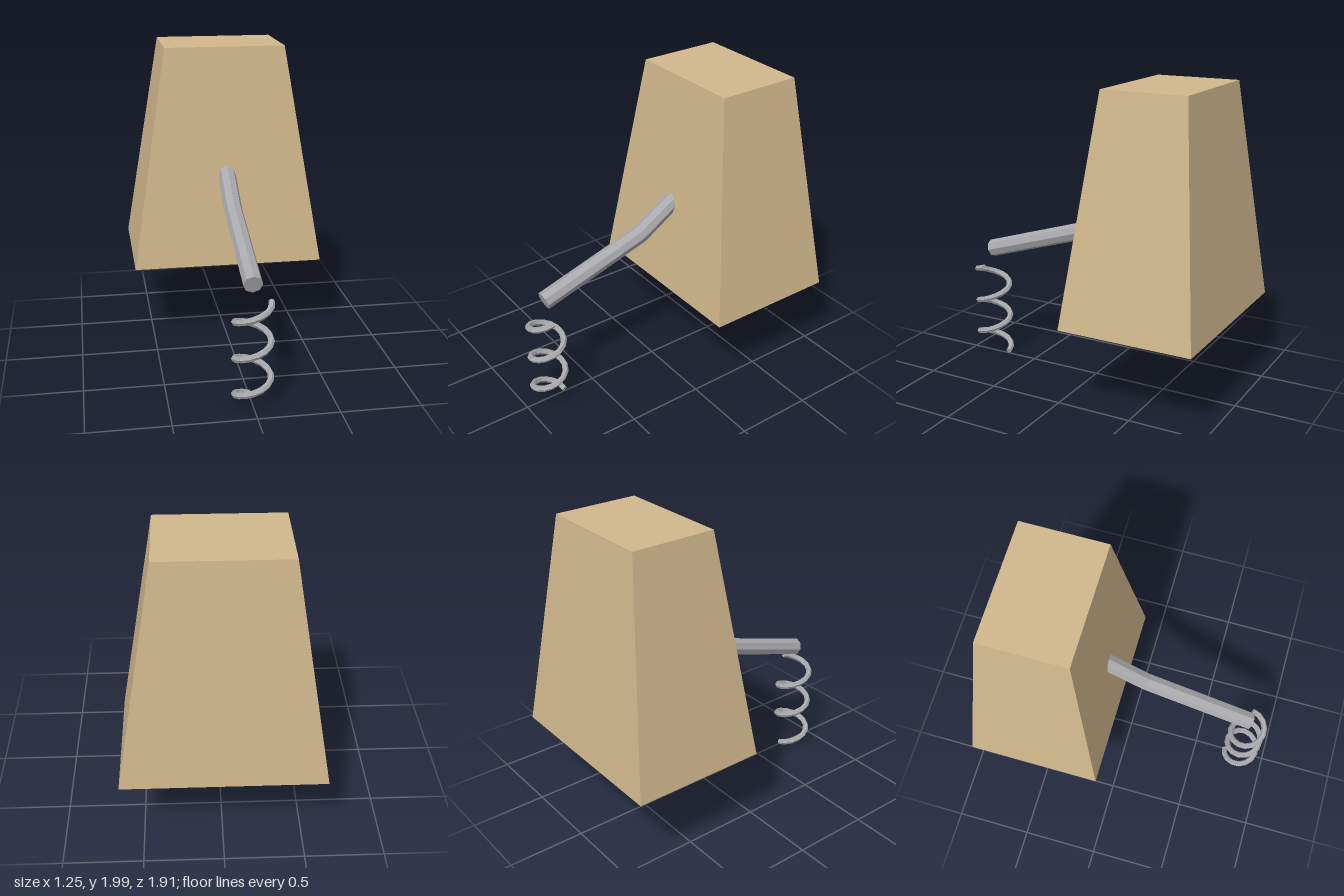
import * as THREE from 'three';

// Skins a list of rings (each counter-clockwise about the travel direction), with flat end caps.
function loft(rings) {
  const pos = [];
  const tri = (...pts) => pts.forEach((p) => pos.push(p.x, p.y, p.z));
  const n = rings[0].length;
  for (let j = 0; j < rings.length - 1; j++) {
    const a = rings[j], b = rings[j + 1];
    for (let i = 0; i < n; i++) {
      const k = (i + 1) % n;
      tri(a[i], a[k], b[k]);
      tri(a[i], b[k], b[i]);
    }
  }
  const first = rings[0], last = rings[rings.length - 1];
  for (let i = 1; i < n - 1; i++) {
    tri(first[0], first[i + 1], first[i]);
    tri(last[0], last[i], last[i + 1]);
  }
  const geometry = new THREE.BufferGeometry();
  geometry.setAttribute('position', new THREE.Float32BufferAttribute(pos, 3));
  geometry.computeVertexNormals(); // unshared vertices give flat facets
  return geometry;
}

// Sweeps a regular polygon along a path that is never vertical.
function sweep(points, radius, sides) {
  const up = new THREE.Vector3(0, 1, 0);
  return loft(points.map((p, i) => {
    const next = points[Math.min(i + 1, points.length - 1)];
    const prev = points[Math.max(i - 1, 0)];
    const dirIn = p.clone().sub(prev).normalize();
    const dirOut = next.clone().sub(p).normalize();
    const t = dirIn.add(dirOut).normalize();
    const u = up.clone().cross(t).normalize();
    const v = t.clone().cross(u);
    return Array.from({ length: sides }, (_, k) => {
      const a = (k / sides) * Math.PI * 2;
      return p.clone().addScaledVector(u, Math.cos(a) * radius).addScaledVector(v, Math.sin(a) * radius);
    });
  }));
}

export function createModel() {
  const model = new THREE.Group();
  const tan = new THREE.MeshStandardMaterial({ color: 0xd0b78c });
  tan.name = 'tan';
  const steel = new THREE.MeshStandardMaterial({ color: 0xa9a9ad });
  steel.name = 'steel grey';

  const add = (name, geometry, material) => {
    const mesh = new THREE.Mesh(geometry, material);
    mesh.name = name;
    model.add(mesh);
  };

  // Hollow tapered housing, open at the bottom: outer wall, rim, inner wall, ceiling
  const rect = (y, hx, hz) => [[1, 1], [-1, 1], [-1, -1], [1, -1]]
    .map(([sx, sz]) => new THREE.Vector3(sx * hx, y, -0.513 + sz * hz));
  const wall = 0.05;
  add('housing', loft([
    rect(2, 0.393, 0.277),
    rect(0.56, 0.627, 0.438),
    rect(0.56, 0.627 - wall, 0.438 - wall),
    rect(1.95, 0.401 - wall, 0.283 - wall),
  ]), tan);

  // Bent octagonal arm, its rear end buried in the housing wall
  add('arm', sweep([
    new THREE.Vector3(0, 0.778, 0.825),
    new THREE.Vector3(0, 1.005, 0.097),
    new THREE.Vector3(0, 1.18, -0.18),
  ], 0.059, 8), steel);

  // Coil spring hanging under the arm's tip
  const turns = 2.75, steps = 40;
  const coil = Array.from({ length: steps + 1 }, (_, i) => {
    const a = (i / steps) * turns * Math.PI * 2;
    return new THREE.Vector3(-0.11 * Math.sin(a), 0.022 + (0.645 * i) / steps, 0.826 - 0.11 * Math.cos(a));
  });
  add('spring', sweep(coil, 0.02, 6), steel);

  return model;
}
